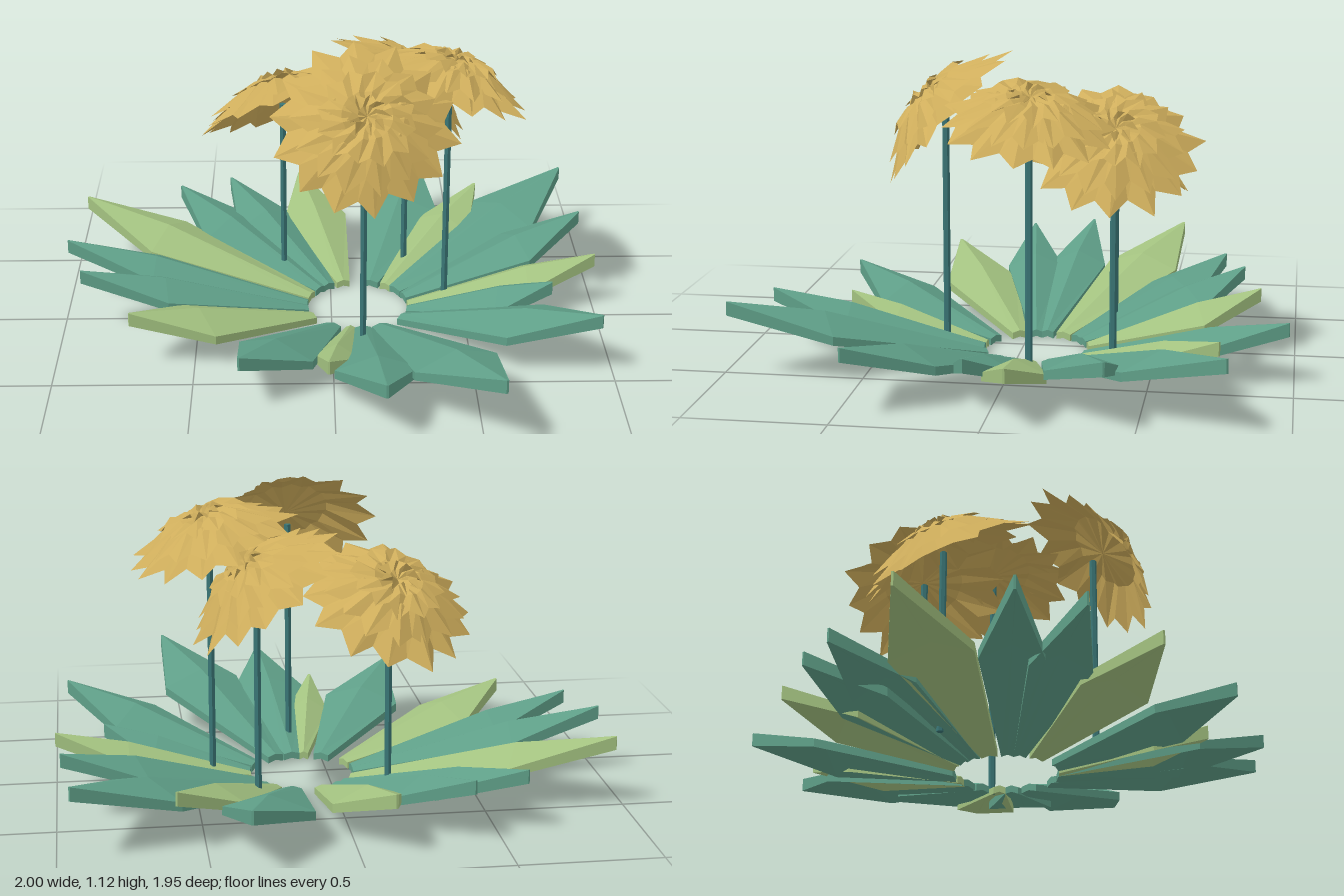
import * as THREE from 'three';

const mat = (color, side = THREE.FrontSide) =>
  new THREE.MeshStandardMaterial({ color, flatShading: true, side });
const TEAL = mat(0x5f9f88), LIME = mat(0xa3c280), STEM = mat(0x3a7676);
const GOLD = mat(0xcfae5c, THREE.DoubleSide);

// Small repeatable jitter in the range -1..1
const jitter = (n) => 2 * ((Math.abs(Math.sin(n * 12.9898) * 43758.5453)) % 1) - 1;

function buildGeometry(points, index) {
  const g = new THREE.BufferGeometry();
  g.setAttribute('position', new THREE.Float32BufferAttribute(points, 3));
  g.setIndex(index);
  const flat = g.toNonIndexed();
  flat.computeVertexNormals();
  return flat;
}

// Thick blade with a raised midrib, from the rosette's inner ring out to its tip
function leafGeometry(tipX, tipZ, halfWidth, tipY) {
  const hub = new THREE.Vector3(0.1, 0, -0.06);
  const tip = new THREE.Vector3(tipX, 0, tipZ);
  const dir = tip.clone().sub(hub).normalize();
  const side = new THREE.Vector3(0, 1, 0).cross(dir);
  const base = hub.clone().addScaledVector(dir, 0.19);
  const length = base.distanceTo(tip);
  // along, half width, midrib height, drop of the edges, thickness
  const stations = [
    [0, 0.2 * halfWidth, 0.035, 0.008, 0.025],
    [0.63, halfWidth, 0.79 * tipY, 0.052, 0.032],
    [1, 0.004, tipY, 0.0, 0.05],
  ];
  const pts = [], idx = [], n = 6;
  for (const [t, w, y, drop, thick] of stations) {
    const ring = [[w, y - drop], [0, y], [-w, y - drop],
      [-w, y - drop - thick], [0, y - thick], [w, y - drop - thick]];
    for (const [a, h] of ring) {
      const p = base.clone().addScaledVector(dir, t * length).addScaledVector(side, a);
      pts.push(p.x, Math.max(h, 0), p.z);
    }
  }
  for (let i = 0; i < stations.length - 1; i++) {
    for (let j = 0; j < n; j++) {
      const a = i * n + j, b = i * n + (j + 1) % n;
      idx.push(a, b, b + n, a, b + n, a + n);
    }
  }
  const end = (stations.length - 1) * n;
  // caps, split along the midrib
  for (const [a, b, c, d] of [[0, 1, 4, 5], [1, 2, 3, 4]]) {
    idx.push(a, c, b, a, d, c);
    idx.push(end + a, end + b, end + c, end + a, end + c, end + d);
  }
  return buildGeometry(pts, idx);
}

// Pleated star of petals: hub, raised/lowered middle ring, notched outer ring
function petalLayer(count, tipR, notchR, hubY, midY, rimY, seed) {
  const pts = [0, hubY, 0], idx = [], n = count * 2;
  for (let i = 0; i < n; i++) {
    const isTip = i % 2 === 0;
    const a = (i / n) * Math.PI * 2 + seed + 0.03 * jitter(seed * 7 + i);
    const rMid = notchR * 0.6;
    const rOut = (isTip ? tipR : notchR) * (1 + 0.05 * jitter(seed * 13 + i));
    const yMid = midY + (isTip ? 0.005 : -0.005);
    const yOut = rimY + (isTip ? -0.01 : 0.006) + 0.01 * jitter(seed * 5 + i);
    pts.push(Math.cos(a) * rMid, yMid, Math.sin(a) * rMid);
    pts.push(Math.cos(a) * rOut, yOut, Math.sin(a) * rOut);
  }
  for (let i = 0; i < n; i++) {
    const m = 1 + 2 * i, k = 1 + 2 * ((i + 1) % n);
    idx.push(0, k, m, m, k, k + 1, m, k + 1, m + 1);
  }
  return buildGeometry(pts, idx);
}

function flower(seed) {
  const g = new THREE.Group();
  g.name = 'flowerHead';
  // petals, tip radius, notch radius, hub height, middle height, rim height
  const layers = [
    ['outerPetals', 14, 0.3, 0.24, -0.01, 0.0, -0.07],
    ['middlePetals', 14, 0.24, 0.195, 0.015, 0.025, -0.025],
    ['innerPetals', 12, 0.165, 0.135, 0.025, 0.04, 0.025],
    ['centrePetals', 9, 0.075, 0.05, 0.03, 0.045, 0.052],
  ];
  layers.forEach(([name, ...p], i) => {
    const m = new THREE.Mesh(petalLayer(...p, seed + i * 0.37), GOLD);
    m.name = name;
    g.add(m);
  });
  return g;
}

export function createModel() {
  const model = new THREE.Group();
  model.name = 'floweringPlant';

  // Leaf rosette: tip x, tip z, half width, tip height, material
  const leaves = [
    [0.37, -0.98, 0.16, 0.23, TEAL], [0.60, -0.75, 0.12, 0.22, LIME],
    [0.95, -0.79, 0.17, 0.27, TEAL], [0.98, -0.40, 0.13, 0.25, TEAL],
    [1.00, -0.08, 0.11, 0.22, LIME], [0.82, 0.09, 0.12, 0.19, TEAL],
    [0.95, 0.47, 0.15, 0.25, TEAL], [0.56, 0.97, 0.16, 0.28, TEAL],
    [0.17, 0.91, 0.15, 0.23, TEAL], [-0.02, 0.66, 0.08, 0.18, LIME],
    [-0.33, 0.70, 0.15, 0.22, TEAL], [-0.73, 0.37, 0.14, 0.22, LIME],
    [-0.93, 0.09, 0.11, 0.25, TEAL], [-1.00, -0.15, 0.11, 0.26, TEAL],
    [-0.96, -0.53, 0.15, 0.27, LIME], [-0.60, -0.72, 0.14, 0.23, TEAL],
    [-0.40, -0.80, 0.13, 0.23, TEAL], [-0.12, -0.87, 0.13, 0.22, LIME],
  ];
  const rosette = new THREE.Group();
  rosette.name = 'leafRosette';
  for (const [x, z, w, y, material] of leaves) {
    const leaf = new THREE.Mesh(leafGeometry(x, z, w, y), material);
    leaf.name = 'leaf';
    rosette.add(leaf);
  }
  model.add(rosette);

  // Stems and flower heads: stem x, z, top height, head gap, head size, facing direction
  const flowers = [
    [0.11, 0.27, 0.89, 0.065, 1.1, [0.06, 0.68, 0.72]],
    [0.43, -0.08, 0.94, 0.04, 1.03, [0.3, 0.94, -0.1]],
    [0.29, -0.36, 0.84, 0.03, 1.05, [0.6, 0.78, -0.12]],
    [-0.18, -0.32, 0.745, 0.055, 1.1, [-0.25, 0.84, -0.45]],
  ];
  const up = new THREE.Vector3(0, 1, 0), foot = 0.05;
  flowers.forEach(([x, z, top, gap, size, facing], i) => {
    const normal = new THREE.Vector3(...facing).normalize();
    const plant = new THREE.Group();
    plant.name = 'flowerStalk';
    plant.position.set(x, 0, z);
    const stem = new THREE.Mesh(new THREE.CylinderGeometry(0.013, 0.013, top - foot, 6), STEM);
    stem.name = 'stem';
    stem.position.y = (top + foot) / 2;
    const head = flower(1 + i * 1.7);
    head.position.y = top;
    head.position.addScaledVector(normal, gap);
    head.scale.setScalar(size);
    head.quaternion.setFromUnitVectors(up, normal);
    plant.add(stem, head);
    model.add(plant);
  });
  return model;
}
